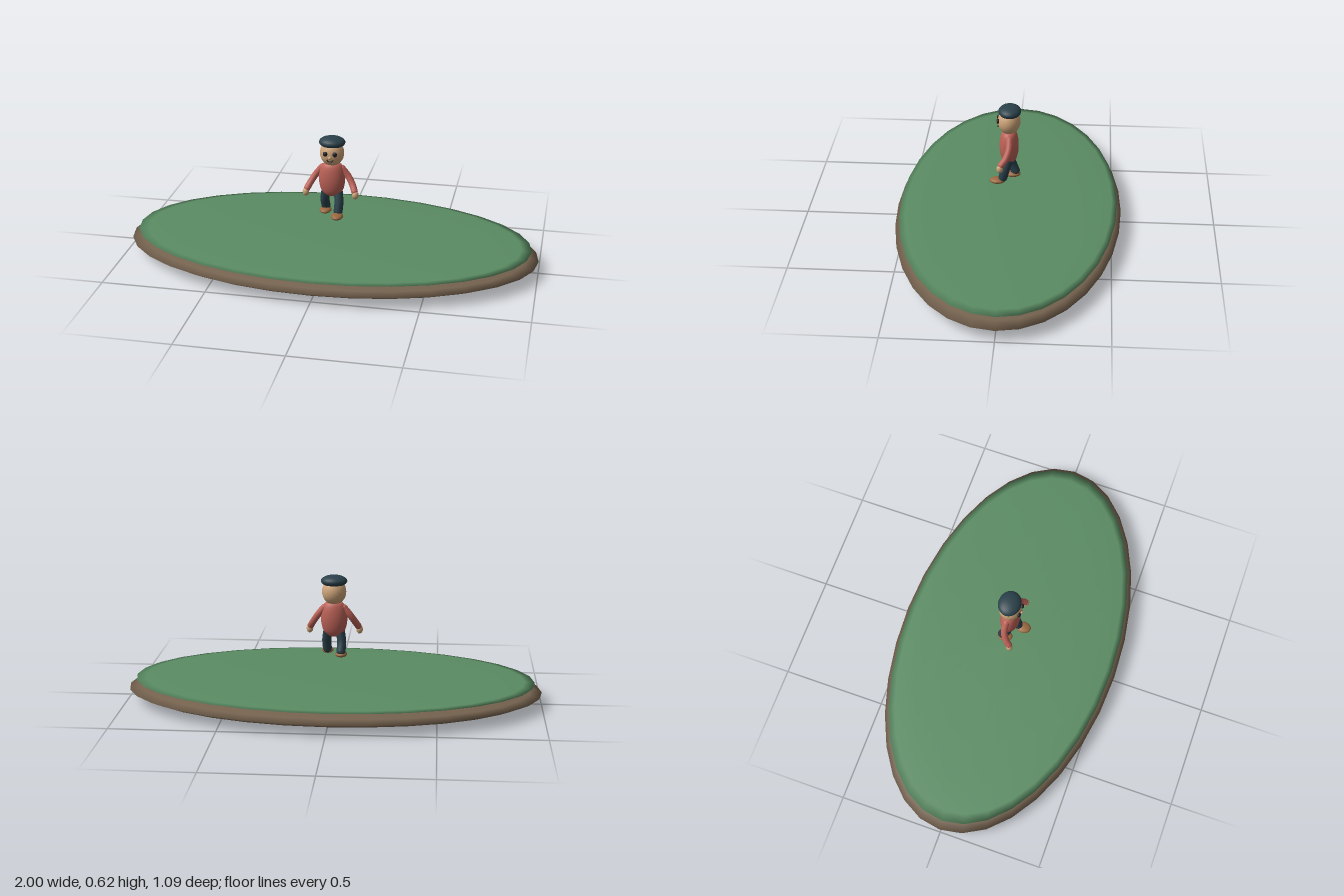
import * as THREE from 'three';

const material = (name, color) => {
  const m = new THREE.MeshStandardMaterial({ color });
  m.name = name;
  return m;
};

export function createModel() {
  const model = new THREE.Group();
  const grass = material('grass green', 0x5a8c63);
  const earth = material('earth brown', 0x76634f);
  const shirt = material('shirt red', 0xbc6257);
  const skin = material('skin', 0xcfa57a);
  const navy = material('dark teal', 0x2a414a);
  const leather = material('shoe brown', 0x99683f);
  const dark = material('dark features', 0x1b2024);

  const add = (parent, name, geometry, mat, pos = [0, 0, 0]) => {
    const mesh = new THREE.Mesh(geometry, mat);
    mesh.name = name;
    mesh.position.set(...pos);
    parent.add(mesh);
    return mesh;
  };
  const ellipsoid = (parent, name, mat, pos, radii, w = 24, h = 16) =>
    add(parent, name, new THREE.SphereGeometry(1, w, h).scale(...radii), mat, pos);

  // Limb: a curved tube with rounded ends
  const limb = (parent, name, mat, points, radius) => {
    const group = new THREE.Group();
    group.name = name;
    parent.add(group);
    const path = new THREE.CatmullRomCurve3(points.map((p) => new THREE.Vector3(...p)));
    add(group, name + 'Tube', new THREE.TubeGeometry(path, 12, radius, 14), mat);
    for (const p of [points[0], points[points.length - 1]]) {
      ellipsoid(group, name + 'End', mat, p, [radius, radius, radius], 14, 10);
    }
  };

  // Ground: two flattened spheres
  ellipsoid(model, 'earthBase', earth, [0, 0.06, 0], [1, 0.06, 0.545], 32, 10);
  ellipsoid(model, 'grassTop', grass, [0, 0.107, 0], [0.965, 0.015, 0.525], 32, 10);

  const figure = new THREE.Group();
  figure.name = 'figure';
  model.add(figure);

  // Torso
  const profile = new THREE.SplineCurve([
    [0, 0.318], [0.03, 0.325], [0.052, 0.35], [0.063, 0.395],
    [0.061, 0.44], [0.05, 0.475], [0.032, 0.49], [0, 0.497],
  ].map((p) => new THREE.Vector2(...p))).getPoints(24);
  profile.forEach((p) => { p.x = Math.max(p.x, 0); });
  add(figure, 'torso', new THREE.LatheGeometry(profile, 28).scale(1, 1, 0.72), shirt);

  // Head, cap and face
  ellipsoid(figure, 'head', skin, [0, 0.54, 0], [0.058, 0.064, 0.054]);
  ellipsoid(figure, 'cap', navy, [0, 0.593, -0.003], [0.063, 0.028, 0.054]);
  ellipsoid(figure, 'nose', skin, [0, 0.532, 0.055], [0.008, 0.008, 0.008], 12, 8);
  const smile = new THREE.TorusGeometry(0.016, 0.0025, 6, 12, Math.PI * 0.8)
    .rotateZ(Math.PI * 1.1);
  add(figure, 'mouth', smile, dark, [0, 0.527, 0.052]);

  for (const s of [-1, 1]) {
    const side = s > 0 ? 'left' : 'right';
    ellipsoid(figure, side + 'Eye', dark, [s * 0.023, 0.549, 0.051], [0.011, 0.012, 0.008], 14, 10);

    // Arms curve outwards, then forwards
    limb(figure, side + 'Arm', shirt, [
      [s * 0.048, 0.463, -0.004], [s * 0.078, 0.425, -0.003],
      [s * 0.102, 0.387, 0.012], [s * 0.115, 0.362, 0.032],
    ], 0.016);
    ellipsoid(figure, side + 'Hand', skin, [s * 0.12, 0.346, 0.037], [0.016, 0.021, 0.016], 16, 12);

    // Walking legs: the left one is in front
    const ankle = s > 0 ? 0.028 : -0.028;
    limb(figure, side + 'Leg', navy, [
      [s * 0.03, 0.345, 0], [s * 0.037, 0.295, ankle * 0.5 + 0.003], [s * 0.035, 0.252, ankle],
    ], 0.022);
    ellipsoid(figure, side + 'Shoe', leather,
      [s * 0.035, 0.236, s > 0 ? 0.054 : -0.016], [0.029, 0.014, 0.038], 18, 12);
  }

  return model;
}
